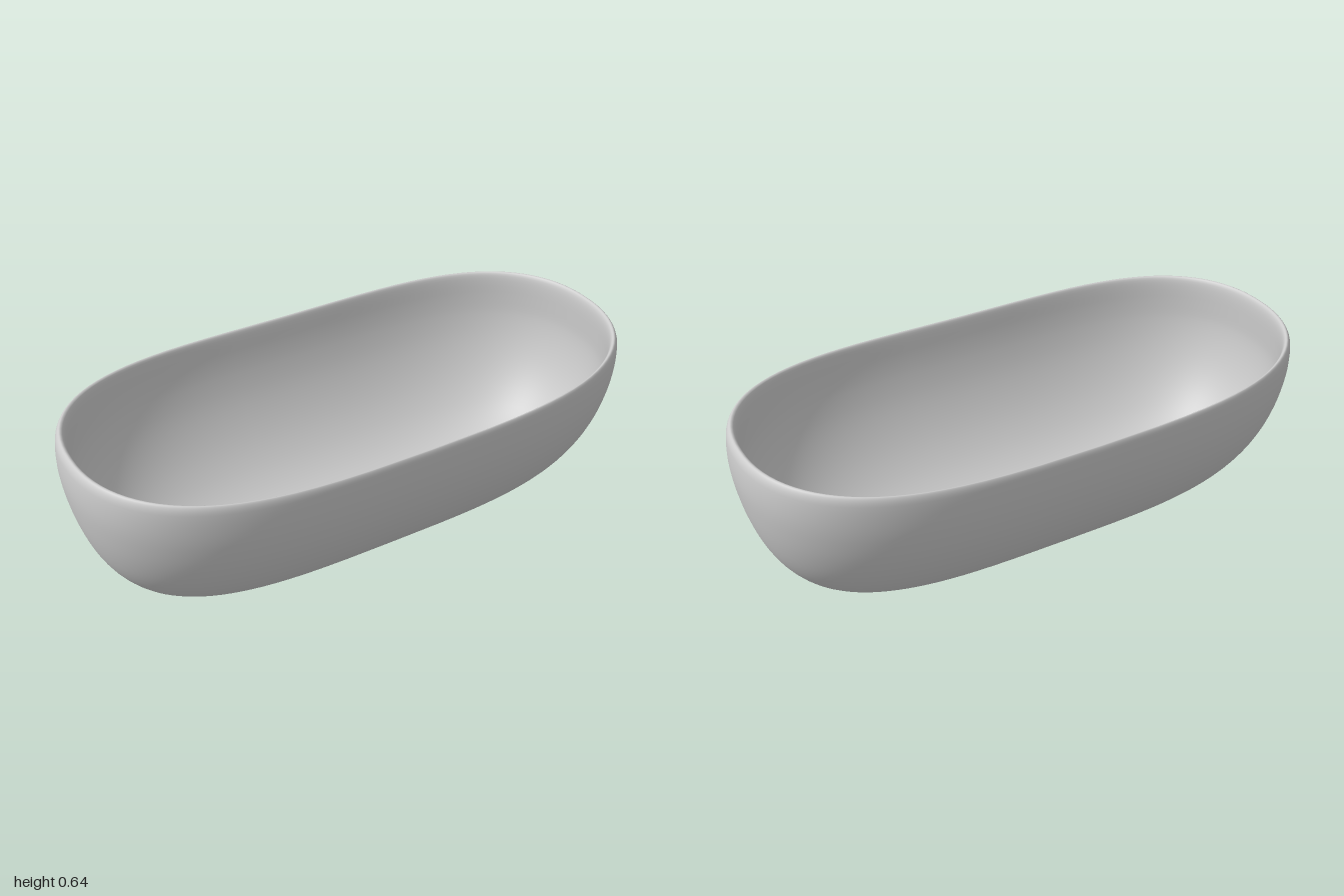
import * as THREE from 'three';

const SEGMENTS = 96;                  // around the tub
const POWER_X = 3.6, POWER_Z = 2.2;   // flat long sides, rounder ends
const RISE = 0.033;                   // how much the two ends rise above the middle

// Outer wall levels: half length, height, half width
const OUTER = [
  [0, 0.002, 0], [0.17, 0.003, 0.04], [0.36, 0.01, 0.087], [0.575, 0.03, 0.152], [0.725, 0.066, 0.222],
  [0.83, 0.12, 0.288], [0.898, 0.19, 0.347], [0.945, 0.27, 0.396], [0.976, 0.36, 0.436],
  [0.994, 0.45, 0.462], [1, 0.52, 0.474], [0.995, 0.585, 0.48],
];
// Rounded lip
const LIP = [[0.988, 0.605, 0.479], [0.978, 0.615, 0.475], [0.968, 0.61, 0.469]];

// Superellipse in plan, lifted toward the ends
function outline(a, y, b, angle) {
  const c = Math.cos(angle), s = Math.sin(angle);
  const x = a * Math.sign(c) * Math.abs(c) ** (2 / POWER_X);
  const z = b * Math.sign(s) * Math.abs(s) ** (2 / POWER_Z);
  return [x, y + RISE * x * x * (y / 0.615), z];
}

function tubGeometry() {
  // Inner wall is the outer wall, shrunk, followed back down and never wider than the lip
  const inner = OUTER.map(([a, y, b]) => [Math.min(a * 0.97, 0.962), 0.018 + y * 0.965, b * 0.968]).reverse();
  const profile = [...OUTER, ...LIP, ...inner].map((p) => new THREE.Vector3(...p));
  const levels = new THREE.CatmullRomCurve3(profile).getPoints((profile.length - 1) * 3);

  // One vertex at each pole, a ring at every level between
  const positions = [], index = [];
  const rings = levels.slice(1, -1);
  for (const l of rings) {
    for (let i = 0; i < SEGMENTS; i++) {
      positions.push(...outline(l.x, l.y, l.z, (i / SEGMENTS) * Math.PI * 2));
    }
  }
  const under = rings.length * SEGMENTS, floor = under + 1;
  positions.push(0, levels[0].y, 0, 0, levels[levels.length - 1].y, 0);

  const last = (rings.length - 1) * SEGMENTS;
  for (let i = 0; i < SEGMENTS; i++) {
    const j = (i + 1) % SEGMENTS;
    index.push(under, i, j, floor, last + j, last + i);
    for (let r = 0; r < last; r += SEGMENTS) {
      const n = r + SEGMENTS;
      index.push(r + i, n + i, r + j, r + j, n + i, n + j);
    }
  }
  const geometry = new THREE.BufferGeometry();
  geometry.setAttribute('position', new THREE.Float32BufferAttribute(positions, 3));
  geometry.setIndex(index);
  geometry.computeVertexNormals();
  return geometry;
}

export function createModel() {
  const group = new THREE.Group();
  group.name = 'bathtub';
  const material = new THREE.MeshStandardMaterial({ color: 0xcccccc });
  const tub = new THREE.Mesh(tubGeometry(), material);
  tub.name = 'tubShell';
  group.add(tub);
  return group;
}
